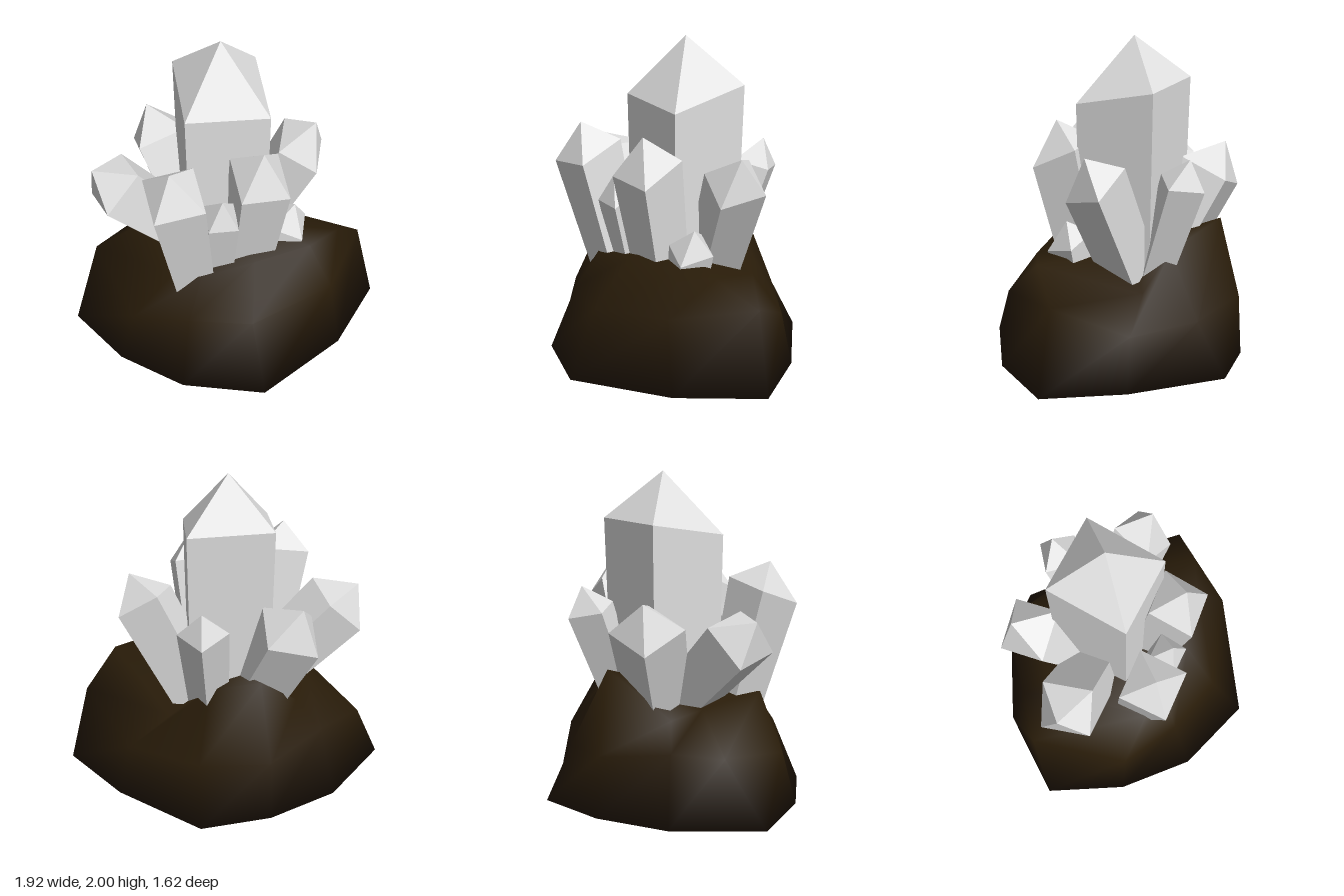
import * as THREE from 'three';

// Rock rings, going round from +x towards +z: ten [x, y, z] points each
const FOOT = [[.96, 0, .18], [.54, 0, .56], [-.08, 0, .81], [-.53, 0, .56], [-.81, 0, .18],
  [-.96, 0, -.29], [-.53, 0, -.67], [-.08, 0, -.81], [.36, 0, -.8], [.75, 0, -.3]];
const WAIST = [[.85, .52, .14], [.48, .47, .53], [-.08, .4, .6], [-.43, .4, .43], [-.71, .31, .17],
  [-.76, .43, -.43], [-.47, .43, -.58], [-.08, .38, -.79], [.32, .33, -.62], [.67, .32, -.29]];
const RIM = [[.63, .705, .29], [.4, .705, .37], [.02, .705, .39], [-.31, .64, .33], [-.47, .64, .24],
  [-.47, .64, -.3], [-.35, .58, -.44], [-.05, .885, -.67], [.2, .73, -.42], [.42, .51, -.3]];

// base centre, tip, radius, spin in degrees, shoulder (share of length),
// base radius (share), slope of the shoulder line towards the back
const CRYSTALS = [
  ['mainCrystal', [0, .5, -.12], [0, 2, -.13], .365, 57, .775, .92, .22],
  ['frontCrystal', [.06, .5, .14], [.09, 1.47, .34], .215, 51, .79, .78, .25],
  ['frontRightCrystal', [-.31, .5, .17], [-.49, 1.45, .3], .22, 54, .81, .75, .22],
  ['rightCrystal', [-.2, .62, -.15], [-.81, 1.21, -.22], .22, 40, .78, .85, 0],
  ['leftCrystal', [.18, .5, -.18], [.58, 1.36, .01], .2, 69, .79, .87, .25],
  ['backRightCrystal', [-.1, .55, -.28], [-.31, 1.31, -.64], .225, 52, .76, .88, 0],
  ['backLeftCrystal', [.17, .55, -.3], [.28, 1.32, -.55], .155, 18, .8, .8, .1],
  ['smallFrontCrystal', [-.15, .5, .18], [-.17, 1.18, .33], .13, 56, .79, .85, .2],
  ['smallLeftCrystal', [.27, .52, .16], [.37, .91, .19], .145, 70, .65, .95, .3],
];

// Boulder smoothed all over, with an uneven top and a flat underside
function makeRock(material) {
  const n = FOOT.length;
  const points = [...FOOT, ...WAIST, ...RIM, [0, .67, -.1], [0, 0, 0]];
  const index = [];
  for (let i = 0; i < n; i++) {
    const j = (i + 1) % n;
    for (const r of [0, n]) {
      index.push(r + i, r + n + i, r + j, r + n + i, r + n + j, r + j);
    }
    index.push(2 * n + i, 3 * n, 2 * n + j); // top
    index.push(i, j, 3 * n + 1); // underside
  }
  const geometry = new THREE.BufferGeometry();
  geometry.setAttribute('position', new THREE.Float32BufferAttribute(points.flat(), 3));
  geometry.setIndex(index);
  geometry.computeVertexNormals();
  const rock = new THREE.Mesh(geometry, material);
  rock.name = 'rock';
  return rock;
}

// Four-sided faceted shaft with a pyramid tip, leaning from base to tip
function makeCrystal([name, base, tip, radius, spin, shoulder, foot, slope], material) {
  const start = new THREE.Vector3(...base);
  const axis = new THREE.Vector3(...tip).sub(start);
  const length = axis.length();
  const profile = [[0, 0], [radius * foot, 0], [radius, length * shoulder], [0, length]]
    .map(([x, y]) => new THREE.Vector2(x, y));
  const geometry = new THREE.LatheGeometry(profile, 4).toNonIndexed();
  geometry.rotateY(-THREE.MathUtils.degToRad(spin));
  const position = geometry.attributes.position;
  for (let i = 0; i < position.count; i++) {
    position.setY(i, position.getY(i) - slope * position.getZ(i));
  }
  geometry.computeVertexNormals(); // flat facets
  const crystal = new THREE.Mesh(geometry, material);
  crystal.name = name;
  crystal.position.copy(start);
  crystal.quaternion.setFromUnitVectors(new THREE.Vector3(0, 1, 0), axis.normalize());
  return crystal;
}

export function createModel() {
  const rockBrown = new THREE.MeshStandardMaterial({ color: 0x291c09 });
  rockBrown.name = 'rockBrown';
  const crystalGrey = new THREE.MeshStandardMaterial({ color: 0xe0e0e0 });
  crystalGrey.name = 'crystalGrey';

  const model = new THREE.Group();
  model.name = 'crystalCluster';
  model.add(makeRock(rockBrown));
  for (const spec of CRYSTALS) model.add(makeCrystal(spec, crystalGrey));
  return model;
}
